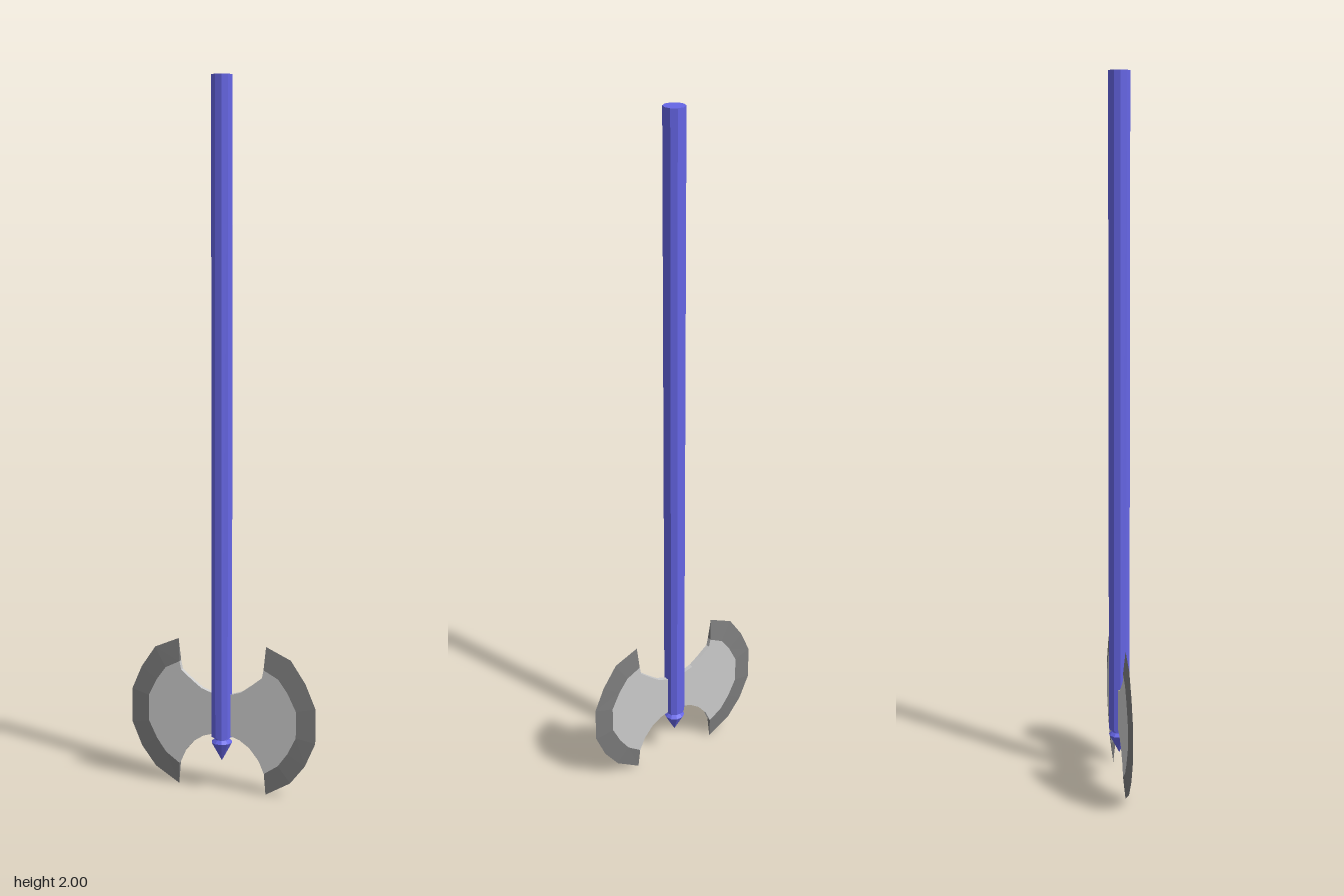
import * as THREE from 'three';

const mat = (color) => new THREE.MeshStandardMaterial({ color, flatShading: true });

// Blade outlines, top to bottom
const HALF = 0.0065;
const outer = [[0.132, 0.434], [0.205, 0.402], [0.248, 0.339], [0.278, 0.270],
  [0.278, 0.170], [0.248, 0.101], [0.205, 0.046], [0.132, 0.003]];
const inner = [[0.127, 0.368], [0.170, 0.346], [0.198, 0.308], [0.223, 0.258],
  [0.223, 0.182], [0.198, 0.132], [0.170, 0.094], [0.129, 0.066]];
const upperNotch = [[0, 0.286], [0.03, 0.286], [0.06, 0.296], [0.09, 0.318], [0.122, 0.344]];
const lowerNotch = [[0.113, 0.102], [0.085, 0.136], [0.055, 0.156], [0.03, 0.164], [0, 0.164]];

// Flat plate of one blade
function plateGeometry() {
  const points = [...upperNotch, ...inner, ...lowerNotch].map(([x, y]) => new THREE.Vector2(x, y));
  const geometry = new THREE.ExtrudeGeometry(new THREE.Shape(points), { depth: 2 * HALF, bevelEnabled: false });
  return geometry.translate(0, 0, -HALF);
}

// Ground edge tapering from plate thickness to a sharp rim
function edgeGeometry() {
  const positions = [];
  const tri = (...corners) => corners.forEach((c) => positions.push(...c));
  const rim = (i) => [...outer[i], 0];
  const root = (i, z) => [...inner[i], z];
  const last = outer.length - 1;
  for (let i = 0; i < last; i++) {
    tri(root(i, HALF), root(i + 1, HALF), rim(i + 1));
    tri(root(i, HALF), rim(i + 1), rim(i));
    tri(root(i, -HALF), rim(i + 1), root(i + 1, -HALF));
    tri(root(i, -HALF), rim(i), rim(i + 1));
  }
  // Closing triangles along the two horns
  tri(rim(0), root(0, -HALF), root(0, HALF));
  tri(rim(last), root(last, HALF), root(last, -HALF));
  const geometry = new THREE.BufferGeometry();
  geometry.setAttribute('position', new THREE.Float32BufferAttribute(positions, 3));
  geometry.computeVertexNormals();
  return geometry;
}

export function createModel() {
  const model = new THREE.Group();
  model.name = 'doubleAxe';
  const blue = mat(0x6666e6), steel = mat(0xcccccc), darkSteel = mat(0x7d7d7d);

  const add = (parent, name, geometry, material) => {
    const mesh = new THREE.Mesh(geometry, material);
    mesh.name = name;
    parent.add(mesh);
    return mesh;
  };

  // Ten-sided round parts stacked along the handle: name, top radius, bottom radius, top, bottom
  const rounds = [
    ['handle', 0.03, 0.03, 2, 0.16],
    ['neck', 0.021, 0.021, 0.16, 0.146],
    ['spikeCollar', 0.021, 0.03, 0.152, 0.143],
    ['spike', 0.03, 0, 0.143, 0.088],
  ];
  for (const [name, rTop, rBottom, top, bottom] of rounds) {
    const geometry = new THREE.CylinderGeometry(rTop, rBottom, top - bottom, 10);
    geometry.rotateY(Math.PI / 2).translate(0, (top + bottom) / 2, 0);
    add(model, name, geometry, blue);
  }

  // Two blades, the second turned half round
  const plate = plateGeometry(), edge = edgeGeometry();
  ['leftBlade', 'rightBlade'].forEach((name, i) => {
    const blade = new THREE.Group();
    blade.name = name;
    blade.rotation.y = i * Math.PI;
    add(blade, 'bladePlate', plate, steel);
    add(blade, 'bladeEdge', edge, darkSteel);
    model.add(blade);
  });
  return model;
}
